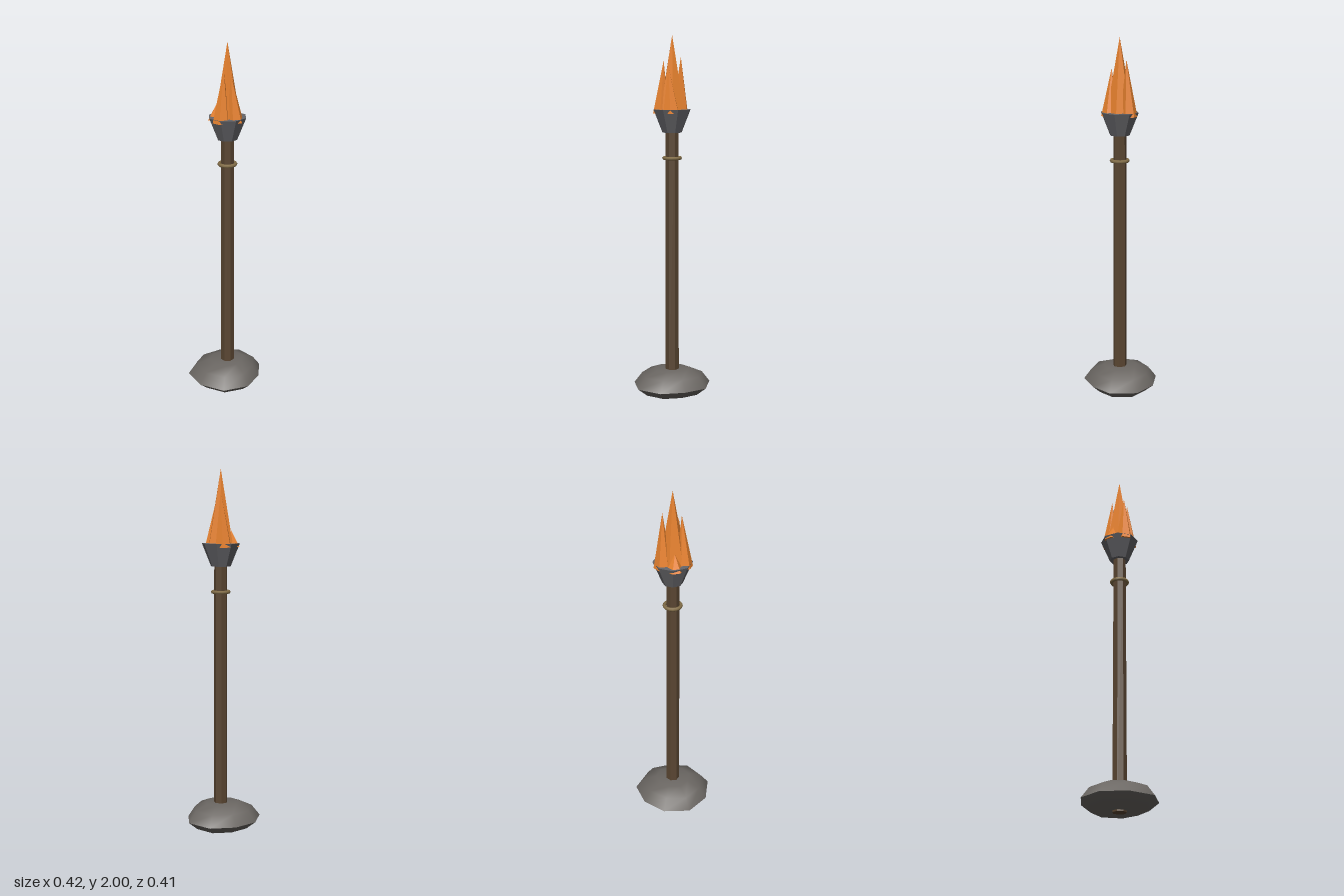
import * as THREE from 'three';

const stone = new THREE.MeshStandardMaterial({ name: 'stone', color: 0x6b6763 });
const iron = new THREE.MeshStandardMaterial({ name: 'iron', color: 0x66666a });
const wood = new THREE.MeshStandardMaterial({ name: 'wood', color: 0x5a4632 });
const brass = new THREE.MeshStandardMaterial({ name: 'brass', color: 0x85704a });
const fire = new THREE.MeshStandardMaterial({ name: 'fire', color: 0xe8822e });

// Irregular nine-sided rim of the foot stone, as [x, z], running from +x towards -z
const RIM = [[0.21, 0], [0.165, -0.145], [0.035, -0.205], [-0.108, -0.187], [-0.212, -0.08],
  [-0.205, 0.07], [-0.113, 0.19], [0.035, 0.203], [0.143, 0.118]];

function add(group, name, geometry, material, y = 0) {
  const mesh = new THREE.Mesh(geometry, material);
  mesh.name = name;
  mesh.position.y = y;
  group.add(mesh);
  return mesh;
}

// Smooth shell from rings [scale of the rim, y], listed from bottom to top
function stoneShell(rings) {
  const n = RIM.length, pos = [], index = [];
  for (const [s, y] of rings) for (const [x, z] of RIM) pos.push(x * s, y, z * s);
  for (let r = 0; r < rings.length - 1; r++) {
    for (let i = 0; i < n; i++) {
      const a = r * n + i, b = r * n + (i + 1) % n;
      index.push(a, b, b + n, a, b + n, a + n);
    }
  }
  const g = new THREE.BufferGeometry();
  g.setAttribute('position', new THREE.Float32BufferAttribute(pos, 3));
  g.setIndex(index);
  g.computeVertexNormals();
  return g;
}

// Faceted hexagonal spike, sheared so its tip leans to [tx, tz]
function spike([x, z], r, turn, [tx, tz], top) {
  const bottom = 1.58, h = top - bottom;
  const g = new THREE.ConeGeometry(r, h, 6, 1).toNonIndexed();
  g.rotateY(turn).translate(0, h / 2, 0);
  const p = g.attributes.position;
  for (let i = 0; i < p.count; i++) {
    const t = p.getY(i) / h;
    p.setXYZ(i, p.getX(i) + x + (tx - x) * t, p.getY(i) + bottom, p.getZ(i) + z + (tz - z) * t);
  }
  g.computeVertexNormals();
  return g;
}

export function createModel() {
  const group = new THREE.Group();

  // Foot stone: domed top and shallow underside meeting at a sharp rim
  add(group, 'footTop', stoneShell([[1, 0.055], [0.79, 0.115], [0.45, 0.145], [0.01, 0.145]]), stone);
  add(group, 'footUnderside', stoneShell([[0.01, 0.008], [0.74, 0.011], [1, 0.055]]), stone);

  // Pole with its ring
  const poleGeometry = new THREE.CylinderGeometry(0.036, 0.039, 1.48, 7).toNonIndexed();
  poleGeometry.computeVertexNormals();
  add(group, 'pole', poleGeometry, wood, 0.74);
  add(group, 'poleRing', new THREE.TorusGeometry(0.045, 0.01, 6, 16).rotateX(Math.PI / 2), brass, 1.335);

  // Octagonal fire bowl
  const bowl = new THREE.CylinderGeometry(0.106, 0.055, 0.125, 8).toNonIndexed();
  bowl.computeVertexNormals();
  add(group, 'fireBowl', bowl, iron, 1.5375);

  // Flames: base centre, radius, turn, tip, tip height
  const flames = [
    [[0, 0], 0.076, Math.PI / 6, [0, 0], 2.0],
    [[0.02, -0.056], 0.047, 0.4, [0.03, -0.045], 1.885],
    [[-0.052, 0.032], 0.047, 0.4, [-0.036, 0.03], 1.865],
    [[0.02, 0.05], 0.047, 0.4, [0, 0.045], 1.835],
    [[-0.05, -0.038], 0.045, 0.5, [-0.046, -0.032], 1.67],
  ];
  flames.forEach((f, i) => add(group, i ? 'sideFlame' + i : 'mainFlame', spike(...f), fire));

  return group;
}
